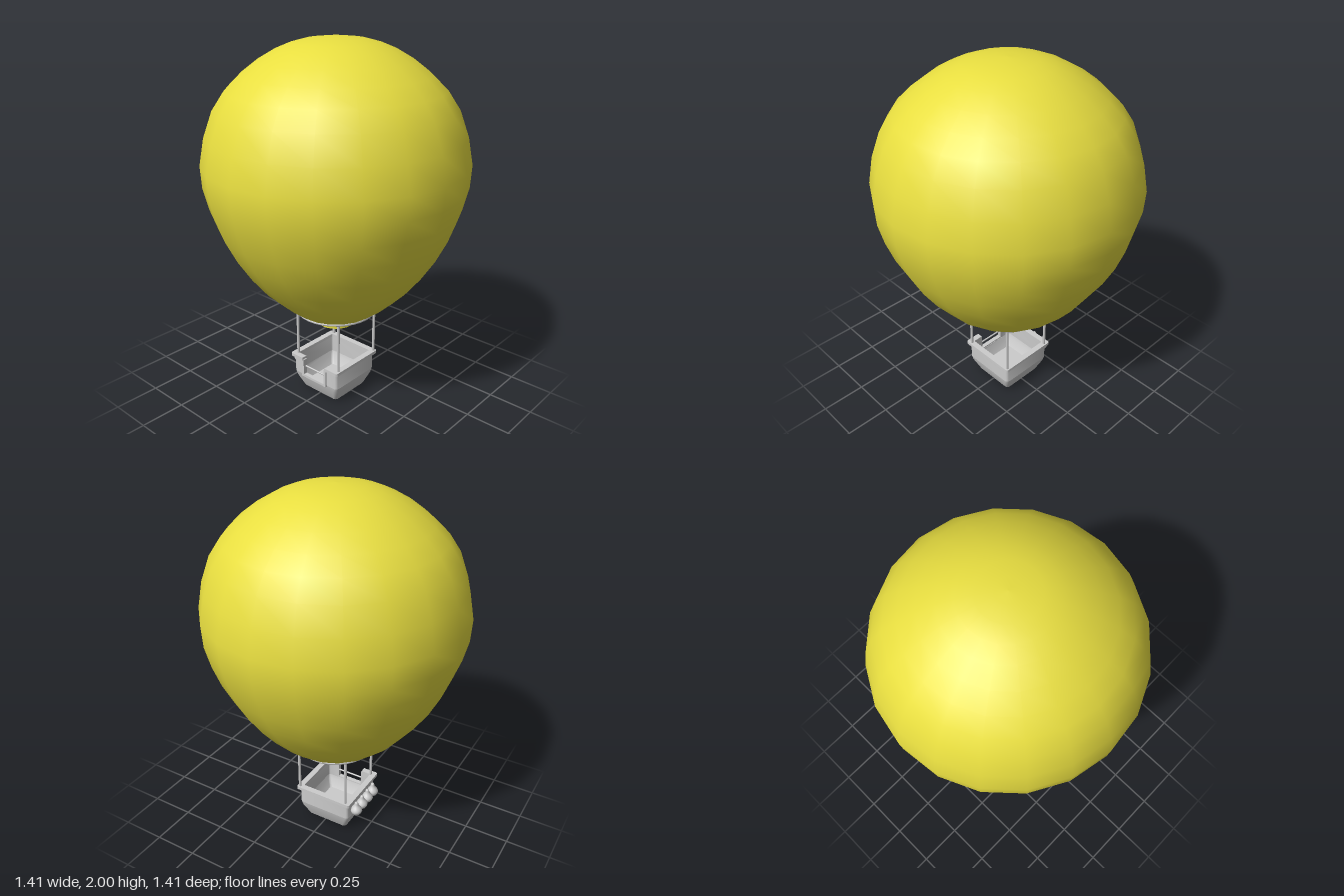
import * as THREE from 'three';
import { toCreasedNormals } from 'three/addons/utils/BufferGeometryUtils.js';

const yellow = new THREE.MeshStandardMaterial({ color: 0xe8de40 });
const grey = new THREE.MeshStandardMaterial({ color: 0xcccccc });

function add(parent, name, geometry, material, x = 0, y = 0, z = 0) {
  const mesh = new THREE.Mesh(geometry, material);
  mesh.name = name;
  mesh.position.set(x, y, z);
  parent.add(mesh);
  return mesh;
}

const v2 = (list) => list.map(([r, y]) => new THREE.Vector2(r, y));

// Points of a square with rounded corners, anticlockwise from the -x side
function roundedSquare(half, radius, steps = 4) {
  const points = [];
  for (let corner = 0; corner < 4; corner++) {
    const start = Math.PI + corner * Math.PI / 2;
    const mid = start + Math.PI / 4;
    const cx = Math.sign(Math.cos(mid)) * (half - radius);
    const cy = Math.sign(Math.sin(mid)) * (half - radius);
    for (let i = 0; i <= steps; i++) {
      const a = start + (i / steps) * Math.PI / 2;
      points.push(new THREE.Vector2(cx + radius * Math.cos(a), cy + radius * Math.sin(a)));
    }
  }
  return points;
}

// Upright square band with a doorway in its -x side
function openBand(outer, inner, radius, gap, height) {
  const outside = roundedSquare(outer, radius);
  const inside = roundedSquare(inner, radius * 0.6).reverse();
  const shape = new THREE.Shape([
    new THREE.Vector2(-outer, -gap), ...outside, new THREE.Vector2(-outer, gap),
    new THREE.Vector2(-inner, gap), ...inside, new THREE.Vector2(-inner, -gap),
  ]);
  const g = new THREE.ExtrudeGeometry(shape, { depth: height, bevelEnabled: false });
  g.rotateX(-Math.PI / 2);
  return toCreasedNormals(g, 0.7);
}

// Skin through rounded squares [half width, y, corner radius]; half width 0 closes an end
function loftSquares(sections) {
  const positions = [], index = [];
  let n = 0;
  for (const [half, y, radius] of sections) {
    const ring = roundedSquare(half, radius);
    n = ring.length;
    ring.forEach((p) => positions.push(p.x, y, -p.y));
  }
  for (let s = 0; s < sections.length - 1; s++) {
    for (let i = 0; i < n; i++) {
      const a = s * n + i, b = s * n + (i + 1) % n;
      index.push(a, b, b + n, a, b + n, a + n);
    }
  }
  const g = new THREE.BufferGeometry();
  g.setAttribute('position', new THREE.Float32BufferAttribute(positions, 3));
  g.setIndex(index);
  return toCreasedNormals(g, 0.6);
}

export function createModel() {
  const model = new THREE.Group();
  model.name = 'hotAirBalloon';

  // Envelope: twenty gores, smooth shaded
  const curve = new THREE.SplineCurve(v2([
    [0.1, 0.442], [0.16, 0.465], [0.24, 0.52], [0.41, 0.667], [0.57, 0.89], [0.672, 1.127],
    [0.707, 1.365], [0.63, 1.645], [0.49, 1.815], [0.31, 1.935], [0.15, 1.988], [0, 2],
  ]));
  const profile = curve.getPoints(22);
  profile[22].x = 0;
  add(model, 'envelope', new THREE.LatheGeometry(profile, 20, -Math.PI / 72), yellow);
  add(model, 'neck', new THREE.CylinderGeometry(0.108, 0.108, 0.03, 24), yellow, 0, 0.435, 0);

  // Load ring and the four uprights
  const ring = add(model, 'loadRing', new THREE.TorusGeometry(0.219, 0.01, 8, 32), grey, 0, 0.505, 0);
  ring.rotation.x = Math.PI / 2;
  for (const x of [-1, 1]) {
    for (const z of [-1, 1]) {
      add(model, 'upright', new THREE.CylinderGeometry(0.008, 0.008, 0.31, 8), grey,
        x * 0.154, 0.35, z * 0.154);
    }
  }

  // Basket: tapered tub, walls with a doorway, and rim
  const basket = new THREE.Group();
  basket.name = 'basket';
  basket.position.set(-0.008, 0, -0.008);
  model.add(basket);
  add(basket, 'tub', loftSquares([
    [0, 0, 0], [0.127, 0, 0.02], [0.16, 0.075, 0.025], [0.165, 0.1, 0.025],
    [0.147, 0.1, 0.015], [0.142, 0.075, 0.015], [0.12, 0.025, 0.015], [0, 0.025, 0],
  ]), grey);
  add(basket, 'walls', openBand(0.165, 0.147, 0.025, 0.085, 0.1), grey, 0, 0.1, 0);
  add(basket, 'rim', openBand(0.178, 0.144, 0.012, 0.085, 0.018), grey, 0, 0.196, 0);

  // Doorway frame with sill and low bar
  const door = new THREE.Group();
  door.name = 'doorway';
  basket.add(door);
  for (const z of [-0.085, 0.085]) {
    add(door, 'doorPost', new THREE.BoxGeometry(0.026, 0.1, 0.014), grey, -0.162, 0.15, z);
  }
  add(door, 'doorSill', new THREE.BoxGeometry(0.026, 0.014, 0.184), grey, -0.162, 0.1, 0);
  const bar = add(door, 'doorBar', new THREE.CylinderGeometry(0.005, 0.005, 0.17, 8), grey, -0.156, 0.155, 0);
  bar.rotation.x = Math.PI / 2;

  // Ballast bags hanging from the back of the rim
  const bag = new THREE.LatheGeometry(new THREE.SplineCurve(v2([
    [0, 0.11], [0.018, 0.114], [0.034, 0.138], [0.029, 0.158], [0.014, 0.178], [0.009, 0.198], [0, 0.2],
  ])).getPoints(14).map((p) => p.setX(Math.max(p.x, 0))), 14);
  for (let i = 0; i < 4; i++) {
    add(model, 'ballastBag', bag, grey, (i - 1.5) * 0.066, 0, -0.198);
  }
  return model;
}
